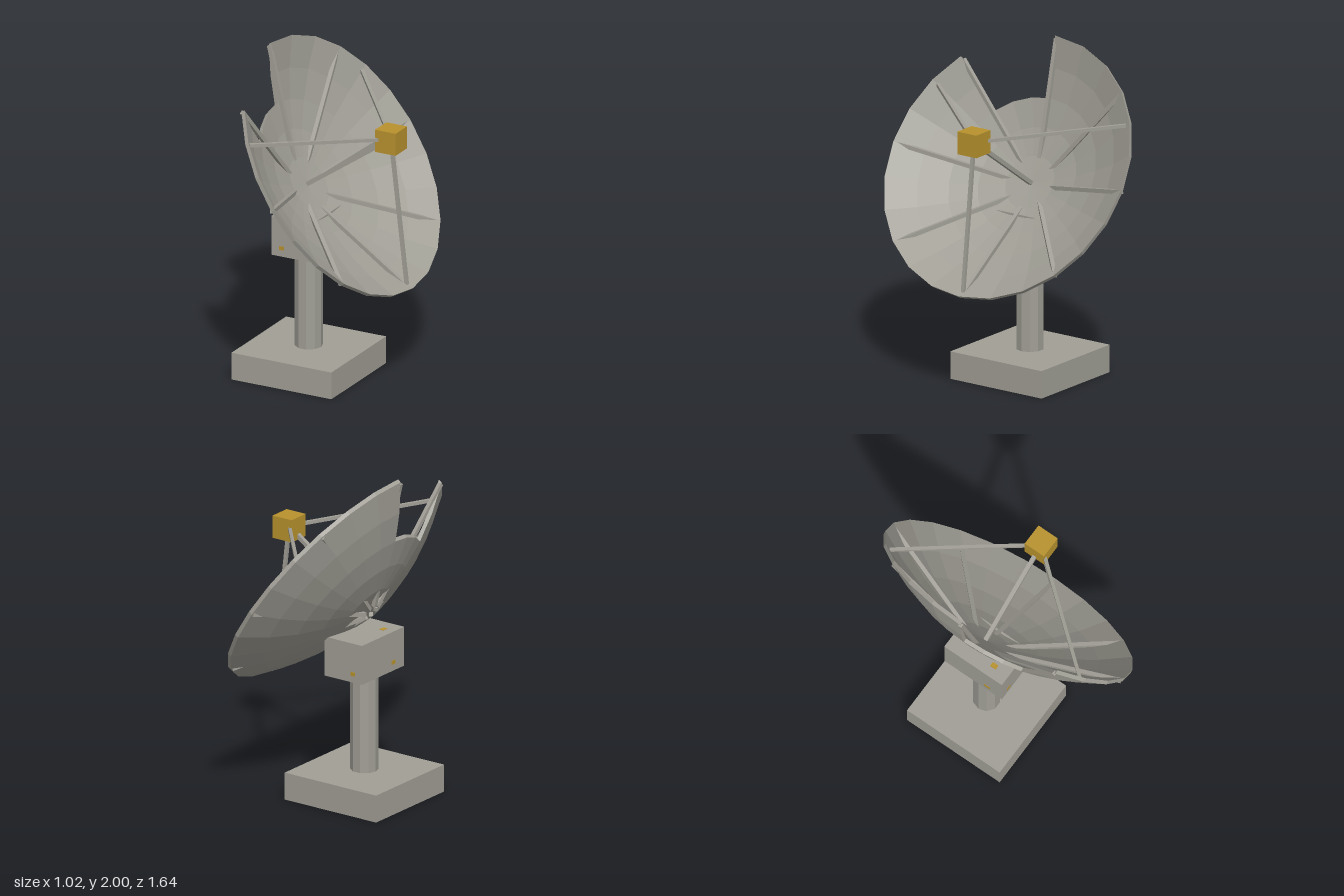
import * as THREE from 'three';

const grey = new THREE.MeshStandardMaterial({ color: 0xa09e95, flatShading: true });
grey.name = 'weathered grey';
const gold = new THREE.MeshStandardMaterial({ color: 0xb8922e, flatShading: true });
gold.name = 'gold';

// Dish frame: rim centre, tilted axis, and the direction up the dish face
const RIM = new THREE.Vector3(0.036, 1.323, 0);
const TILT = THREE.MathUtils.degToRad(34.5);
const AXIS = new THREE.Vector3(Math.cos(TILT), Math.sin(TILT), 0);
const UP = new THREE.Vector3(-Math.sin(TILT), Math.cos(TILT), 0);
const RADIUS = 0.822, DEPTH = 0.28, THICK = 0.025, RINGS = 5, SEGS = 24;

// Point at radius r, angle phi (from the top towards +z) and height h along the axis
function dishPoint(r, phi, h) {
  const p = RIM.clone().addScaledVector(UP, r * Math.cos(phi)).addScaledVector(AXIS, h);
  p.z += r * Math.sin(phi);
  return p;
}

function add(parent, name, geometry, material, x = 0, y = 0, z = 0) {
  const mesh = new THREE.Mesh(geometry, material);
  mesh.name = name;
  mesh.position.set(x, y, z);
  parent.add(mesh);
  return mesh;
}

// Square bar between two points
function bar(parent, name, a, b, width) {
  const mesh = add(parent, name, new THREE.BoxGeometry(width, width, a.distanceTo(b)), grey);
  mesh.position.copy(a).lerp(b, 0.5);
  mesh.lookAt(b);
}

// Faceted parabolic shell with three outer panels missing
function dishGeometry() {
  const pos = [];
  const point = (i, j, back) => {
    const t = i / RINGS;
    return dishPoint(t * RADIUS, (j / SEGS) * Math.PI * 2, -DEPTH * (1 - t * t) - (back ? THICK : 0));
  };
  const tri = (...pts) => pts.forEach((p) => pos.push(p.x, p.y, p.z));
  const quad = (a, b, c, d) => { tri(a, b, c); tri(a, c, d); };
  const has = (i, j) => i < RINGS && !(i >= 3 && (j + SEGS) % SEGS < 3);

  for (let i = 0; i < RINGS; i++) {
    for (let j = 0; j < SEGS; j++) {
      if (!has(i, j)) continue;
      const [a, b, c, d] = [point(i, j), point(i + 1, j), point(i + 1, j + 1), point(i, j + 1)];
      const [e, f, g, h] = [point(i, j, 1), point(i + 1, j, 1), point(i + 1, j + 1, 1), point(i, j + 1, 1)];
      if (i === 0) {
        tri(a, b, c);
        tri(e, g, f);
      } else {
        quad(a, b, c, d);
        quad(e, h, g, f);
      }
      // Edge walls wherever the neighbouring panel is absent
      if (!has(i + 1, j)) quad(b, f, g, c);
      if (!has(i, j - 1)) quad(a, e, f, b);
      if (!has(i, j + 1)) quad(c, g, h, d);
    }
  }
  const geometry = new THREE.BufferGeometry();
  geometry.setAttribute('position', new THREE.Float32BufferAttribute(pos, 3));
  geometry.computeVertexNormals();
  return geometry;
}

export function createModel() {
  const model = new THREE.Group();
  model.name = 'satelliteDish';
  const cx = -0.187;

  // Pedestal
  add(model, 'base', new THREE.BoxGeometry(0.66, 0.166, 0.66), grey, cx, 0.083, 0);
  const column = add(model, 'column', new THREE.CylinderGeometry(0.082, 0.082, 0.62, 10), grey, cx, 0.47, 0);
  column.rotation.y = Math.PI / 10;
  add(model, 'mountBox', new THREE.BoxGeometry(0.27, 0.24, 0.41), grey, cx, 0.89, 0);

  // Small painted marks on the mount box
  for (const s of [-1, 1]) {
    add(model, 'sideMark', new THREE.BoxGeometry(0.03, 0.024, 0.004), gold, -0.255, 0.822, s * 0.205);
    add(model, 'endMark', new THREE.BoxGeometry(0.004, 0.024, 0.04), gold, cx + s * 0.135, 0.822, 0.1);
  }
  add(model, 'topMark', new THREE.BoxGeometry(0.03, 0.004, 0.04), gold, -0.25, 1.01, 0.1);

  // Dish and its straight ribs
  add(model, 'dish', dishGeometry(), grey);
  for (let k = 0; k < 8; k++) {
    const phi = (k * Math.PI) / 4;
    bar(model, 'rib', dishPoint(0.05, phi, -0.322), dishPoint(0.812, phi, -0.026), 0.024);
  }

  // Receiver on three rim struts and one central strut
  const focus = new THREE.Vector3(0.356, 1.545, 0);
  add(model, 'receiver', new THREE.BoxGeometry(0.137, 0.137, 0.137), gold, focus.x, focus.y, focus.z);
  for (const deg of [60, 180, 300]) {
    bar(model, 'rimStrut', dishPoint(0.785, THREE.MathUtils.degToRad(deg), -0.025), focus, 0.02);
  }
  bar(model, 'centreStrut', dishPoint(0, 0, -0.285), focus, 0.025);

  return model;
}
